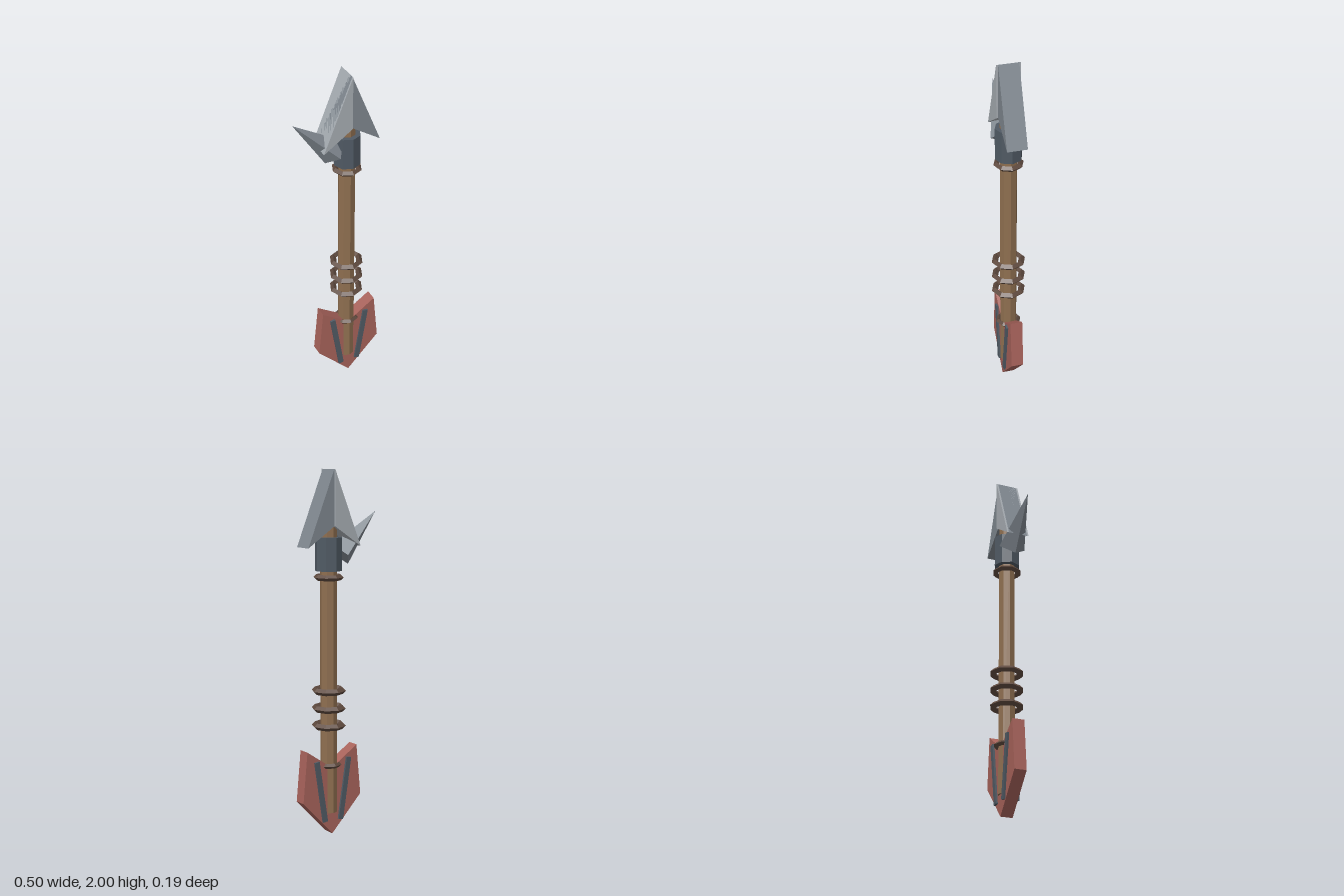
import * as THREE from 'three';

const material = (color) => new THREE.MeshStandardMaterial({ color, flatShading: true });
const wood = material(0x8f6f50);
const binding = material(0x5f4a3f);
const darkMetal = material(0x505a64);
const steel = material(0x808890);
const brightSteel = material(0xa8aeb4);
const red = material(0xa8635b);

export function createModel() {
  const model = new THREE.Group();
  const weapon = new THREE.Group();
  weapon.name = 'spear';
  weapon.position.x = 0.06; // the hook makes the whole off-centre
  model.add(weapon);

  function add(name, geometry, mat, x = 0, y = 0, z = 0) {
    const mesh = new THREE.Mesh(geometry, mat);
    mesh.name = name;
    mesh.position.set(x, y, z);
    weapon.add(mesh);
    return mesh;
  }

  // Flat outline extruded evenly to both sides of z = 0
  function plate(name, points, depth, mat) {
    const shape = new THREE.Shape(points.map(([x, y]) => new THREE.Vector2(x, y)));
    const geometry = new THREE.ExtrudeGeometry(shape, { depth, bevelEnabled: false });
    geometry.translate(0, 0, -depth / 2);
    return add(name, geometry, mat);
  }

  // Shaft and metal collar
  add('shaft', new THREE.CylinderGeometry(0.047, 0.047, 1.6, 8), wood, 0, 0.92);
  add('collar', new THREE.CylinderGeometry(0.074, 0.074, 0.18, 8), darkMetal, 0, 1.55);

  // Binding rings: height, ring radius, thickness radius
  for (const [y, radius, tube] of [
    [1.425, 0.066, 0.016],
    [0.805, 0.077, 0.018],
    [0.707, 0.077, 0.018],
    [0.61, 0.077, 0.018],
    [0.39, 0.057, 0.014],
  ]) {
    add('bindingRing', new THREE.TorusGeometry(radius, tube, 4, 8), binding, 0, y).rotation.x = Math.PI / 2;
  }

  // Barbed head, with a brighter, slightly thicker half
  plate('spearHead', [[0, 2], [-0.165, 1.59], [0, 1.7], [0.165, 1.59]], 0.11, steel);
  plate('brightHeadHalf', [[0, 2], [-0.165, 1.59], [0, 1.7]], 0.13, brightSteel);

  // Four-sided side hook
  const base = new THREE.Vector3(-0.075, 1.545, 0);
  const tip = new THREE.Vector3(-0.31, 1.77, 0);
  const axis = tip.clone().sub(base);
  const middle = base.clone().lerp(tip, 0.5);
  const hook = add('sideHook', new THREE.ConeGeometry(0.076, axis.length(), 4), steel, middle.x, middle.y);
  hook.quaternion.setFromUnitVectors(new THREE.Vector3(0, 1, 0), axis.normalize());

  // Tail fin with a notched top
  plate('tailFin', [
    [0, 0], [0.19, 0.2], [0.163, 0.485], [0, 0.375], [-0.163, 0.485], [-0.19, 0.2],
  ], 0.068, red);

  // Slanted metal struts through the fin
  for (const side of [-1, 1]) {
    const strut = add('finStrut', new THREE.BoxGeometry(0.03, 0.35, 0.09), darkMetal, side * 0.078, 0.25);
    strut.rotation.z = -side * 0.156;
  }

  return model;
}
